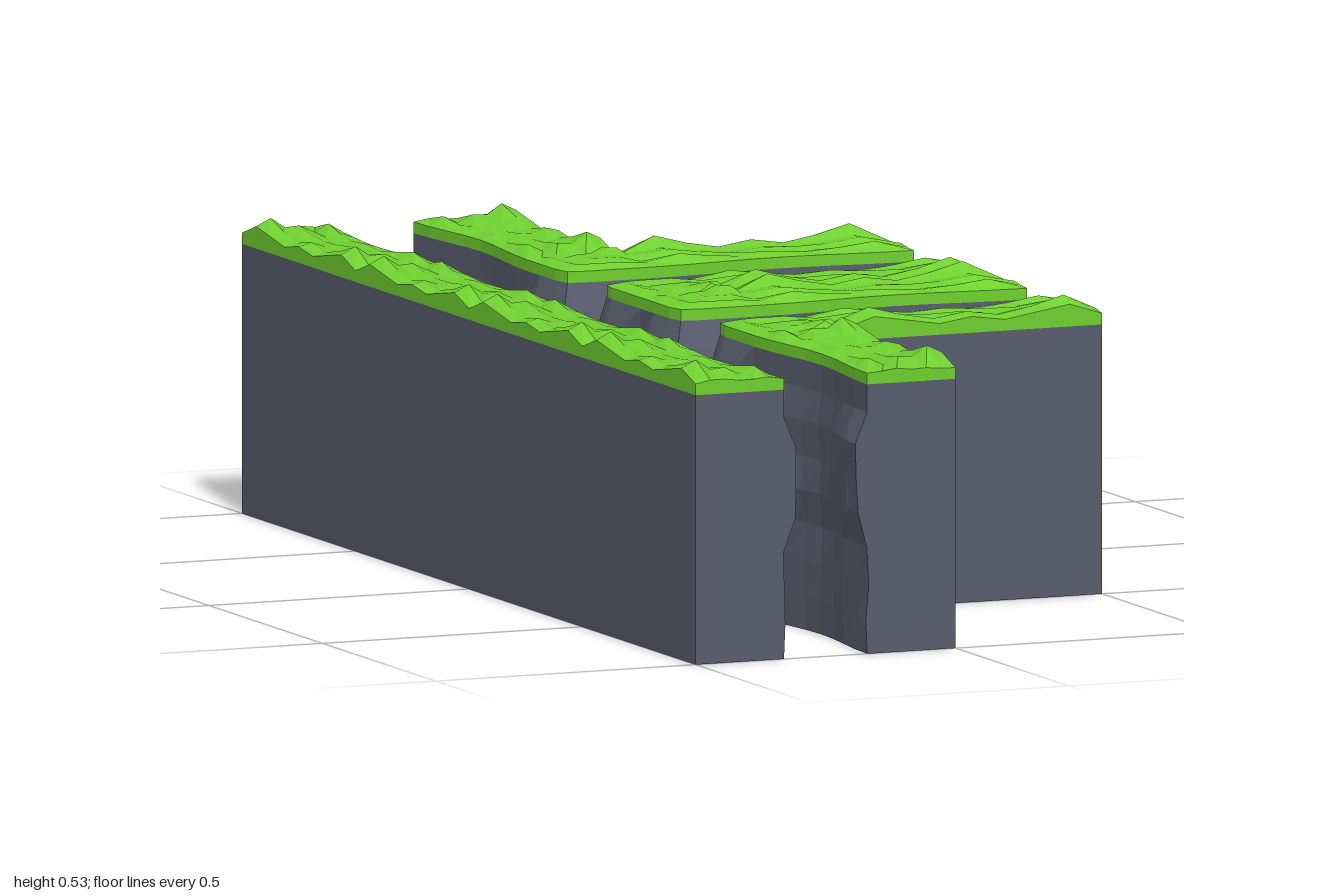
import * as THREE from 'three';

const WIDTH = 0.17, GRASS_Y = 0.48, TOP_Y = 0.5;
// relief of the grass along a half-unit tile and across it (outer side to cliff)
const ALONG = [0, 1, 0.5, 0, 0.45, 0, 0.5, 1, 0];
const ACROSS = [0.6, 1, 0.45, 0.5, 0.1, 0.5, 0];
// cliff levels: height, bulge on straight runs, bulge on corners
const LEVELS = [
  [0, 0, 0.02], [0.06, 0, 0.02], [0.125, 0, 0.023], [0.19, 0, 0.03], [0.25, 0.02, 0.033],
  [0.31, 0.02, 0.04], [0.375, 0.02, 0.034], [0.43, 0, 0.02], [GRASS_Y, 0, 0],
];

const hash = (a, b) => {
  const v = Math.sin(a * 127.1 + b * 311.7) * 43758.5453;
  return v - Math.floor(v);
};

// straight run: outer edge from a to b, cliff lies towards n
function leg(a, b, n, steps = 8) {
  const out = [];
  for (let i = 0; i <= steps; i++) {
    const t = steps ? i / steps : 0;
    const wave = Math.sin(Math.PI * t) ** 2;
    out.push({
      o: [a[0] + (b[0] - a[0]) * t, a[1] + (b[1] - a[1]) * t],
      n, off: [n[0] * WIDTH, n[1] * WIDTH],
      recede: 0.02 * wave, straight: 1 - 0.8 * wave, corner: 0, relief: ALONG[i], id: i,
    });
  }
  return out;
}

// outside corner: the outer point stays put while the cliff turns from n1 to n2
function corner(o, n1, n2) {
  return [[1, 0.35], [1, 0.75], [0.96, 0.96], [0.75, 1], [0.35, 1]].map(([p, q], i) => {
    const a = p >= q ? 1 : 0, b = q >= p ? 1 : 0, len = Math.hypot(a, b);
    const off = [0, 1].map(k => WIDTH * (n1[k] * p + n2[k] * q));
    const n = [0, 1].map(k => (n1[k] * a + n2[k] * b) / len);
    return { o, n, off, recede: 0, straight: 0, corner: 0.8, relief: 0.5, fan: true, id: 10 + i };
  });
}

function flatMesh(name, pos, color) {
  const g = new THREE.BufferGeometry();
  g.setAttribute('position', new THREE.Float32BufferAttribute(pos, 3));
  g.computeVertexNormals();
  const m = new THREE.Mesh(g, new THREE.MeshStandardMaterial({ color, flatShading: true }));
  m.name = name;
  return m;
}

// one rock strip with a grass cover, lofted through its stations
function block(name, stations, hasOuterWall) {
  const rock = [], grass = [];
  const quad = (out, a, b, c, d) => out.push(...a, ...b, ...c, ...a, ...c, ...d);

  const sections = stations.map(s => {
    const outer = LEVELS.map(([y]) => [s.o[0], y, s.o[1]]);
    const inner = LEVELS.map(([y, bulge, cornerBulge], k) => {
      const rough = k > 0 && k < 7 ? 0.008 * (hash(s.id, k) - 0.5) : 0;
      const d = s.straight * bulge + s.corner * cornerBulge - s.recede + rough;
      return [s.o[0] + s.off[0] + s.n[0] * d, y, s.o[1] + s.off[1] + s.n[1] * d];
    });
    const A = outer.at(-1), B = inner.at(-1), last = ACROSS.length - 1;
    const base = ACROSS.map((_, j) => {
      const t = j / last;
      return [A[0] + (B[0] - A[0]) * t, GRASS_Y, A[2] + (B[2] - A[2]) * t];
    });
    const top = base.map(([x, , z], j) => {
      const relief = s.fan && j === 0 ? 0 : s.relief;
      const small = j > 0 && j < last ? 0.006 * hash(s.id, j + 20) : 0;
      return [x, TOP_Y + Math.max(0.033 * relief * ACROSS[j], small), z];
    });
    return { outer, inner, base, top };
  });

  // sides, underside and grass surface
  for (let i = 0; i + 1 < sections.length; i++) {
    const c = sections[i], n = sections[i + 1], e = ACROSS.length - 1;
    for (let k = 0; k + 1 < LEVELS.length; k++)
      quad(rock, n.inner[k], c.inner[k], c.inner[k + 1], n.inner[k + 1]);
    quad(rock, n.inner[0], n.outer[0], c.outer[0], c.inner[0]);
    quad(grass, n.base[e], c.base[e], c.top[e], n.top[e]);
    if (hasOuterWall) {
      quad(rock, c.outer[0], n.outer[0], n.outer.at(-1), c.outer.at(-1));
      quad(grass, c.base[0], n.base[0], n.top[0], c.top[0]);
    }
    for (let j = 0; j < e; j++)
      quad(grass, c.top[j + 1], c.top[j], n.top[j], n.top[j + 1]);
  }

  // end faces
  [[sections[0], false], [sections.at(-1), true]].forEach(([s, flip]) => {
    const face = (out, a, b, c, d) => (flip ? quad(out, d, c, b, a) : quad(out, a, b, c, d));
    for (let k = 0; k + 1 < LEVELS.length; k++)
      face(rock, s.inner[k], s.outer[k], s.outer[k + 1], s.inner[k + 1]);
    for (let j = 0; j + 1 < ACROSS.length; j++)
      face(grass, s.base[j + 1], s.base[j], s.top[j], s.top[j + 1]);
  });

  const group = new THREE.Group();
  group.name = name;
  group.add(flatMesh('rock', rock, 0x595d6e), flatMesh('grass', grass, 0x6fd030));
  return group;
}

export function createModel() {
  const model = new THREE.Group();
  model.name = 'canyonJunction';
  const W = [-1, 0], E = [1, 0], F = [0, 1], B = [0, -1];

  // long unbroken wall
  const wall = [];
  for (let z = -1; z < 1; z += 0.5)
    wall.push(...leg([-0.5, z], [-0.5, z + 0.5], E).slice(z > -1 ? 1 : 0));
  model.add(block('longWall', wall, true));

  // angled walls at the front and back
  model.add(block('frontCornerWall', [
    ...leg([0, 1], [0, 0.5], W), ...corner([0, 0.5], W, B), ...leg([0, 0.5], [0.5, 0.5], B),
  ], true));
  model.add(block('backCornerWall', [
    ...leg([0.5, -0.5], [0, -0.5], F), ...corner([0, -0.5], F, W), ...leg([0, -0.5], [0, -1], W),
  ], true));

  // middle wall, wrapped around its centre line
  model.add(block('middleWall', [
    ...leg([0.5, 0], [0, 0], F), ...corner([0, 0], F, W), ...leg([0, 0], [0, 0], W, 0),
    ...corner([0, 0], W, B), ...leg([0, 0], [0.5, 0], B),
  ], false));
  return model;
}
